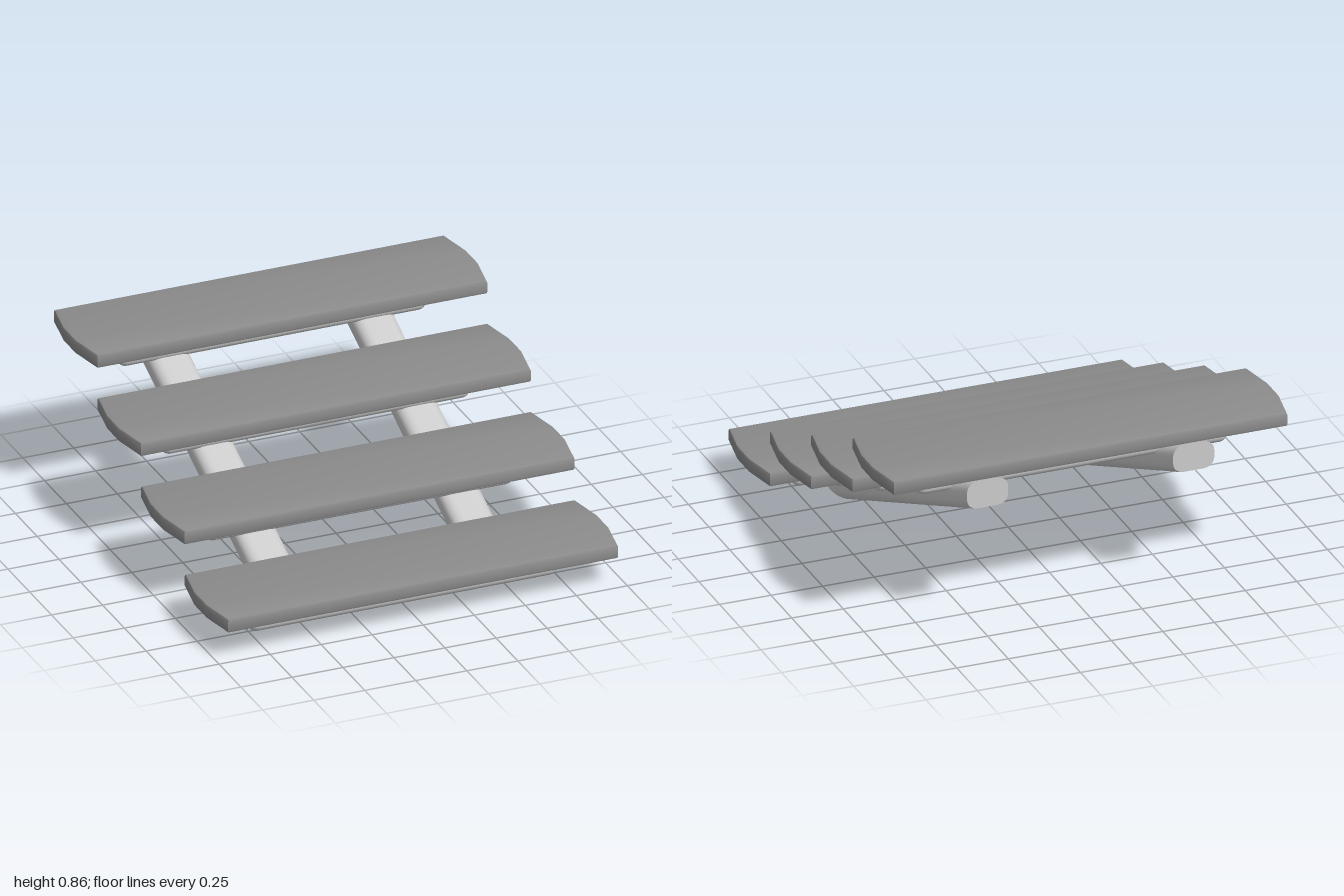
import * as THREE from 'three';
import { toCreasedNormals } from 'three/addons/utils/BufferGeometryUtils.js';
import { RoundedBoxGeometry } from 'three/addons/geometries/RoundedBoxGeometry.js';

const STEPS = 4, RISE = 0.2135, RUN = 0.5;
const TREAD_BOTTOM = 0.145, TREAD_THICK = 0.07;
const JOIST_BOTTOMS = [0.003, 0.228, 0.433, 0.645];

// Plank with three-sided bowed ends and a small bevel all round
function treadGeometry() {
  const b = 0.012;
  const half = [[0.955, -0.25], [0.988, -0.07], [0.988, 0.07], [0.955, 0.25]];
  const outline = [...half, ...half.map(([x, z]) => [-x, -z])];
  const shape = new THREE.Shape(outline.map(([x, z]) => new THREE.Vector2(x, z)));
  const geo = new THREE.ExtrudeGeometry(shape, {
    depth: TREAD_THICK - 2 * b, bevelThickness: b, bevelSize: b, bevelOffset: -b, bevelSegments: 2,
  });
  geo.translate(0, 0, b);
  geo.rotateX(-Math.PI / 2);
  return toCreasedNormals(geo, 0.5);
}

// Sloping beam of rounded section, cut upright at the back and level on the ground
function railGeometry() {
  const backZ = -1, frontZ = 0.75, slope = 0.425, midY = 0.7175;
  const halfW = 0.1, halfH = 0.0675, r = 0.05, seg = 5;
  const ring = [];
  [[1, 1], [-1, 1], [-1, -1], [1, -1]].forEach(([sx, sy], corner) => {
    for (let i = 0; i <= seg; i++) {
      const a = (corner + i / seg) * Math.PI / 2;
      ring.push([sx * (halfW - r) + r * Math.cos(a), sy * (halfH - r) + r * Math.sin(a)]);
    }
  });
  // Each section point runs down the slope until it meets the ground, then along it
  const lines = ring.map(([x, v]) => {
    const y0 = midY + v;
    const hitZ = Math.min(frontZ, backZ + y0 / slope);
    const yAt = (z) => Math.max(0, y0 - slope * (z - backZ));
    return [[x, y0, backZ], [x, yAt(hitZ), hitZ], [x, yAt(frontZ), frontZ]];
  });
  const pos = [], n = lines.length;
  const tri = (...corners) => corners.forEach((c) => pos.push(...c));
  for (let i = 0; i < n; i++) {
    const p = lines[i], q = lines[(i + 1) % n];
    for (let k = 0; k < 2; k++) {
      tri(p[k], q[k + 1], q[k]);
      tri(p[k], p[k + 1], q[k + 1]);
    }
    tri([0, midY, backZ], p[0], q[0]);
    tri(lines[0][2], q[2], p[2]);
  }
  const geo = new THREE.BufferGeometry();
  geo.setAttribute('position', new THREE.Float32BufferAttribute(pos, 3));
  return toCreasedNormals(geo, 0.6);
}

export function createModel() {
  const model = new THREE.Group();
  model.name = 'openStairs';
  const frameMat = new THREE.MeshStandardMaterial({ color: 0xcccccc, side: THREE.DoubleSide });
  const treadMat = new THREE.MeshStandardMaterial({ color: 0x8c8c8c });
  const add = (name, geo, mat, x, y, z) => {
    const mesh = new THREE.Mesh(geo, mat);
    mesh.name = name;
    mesh.position.set(x, y, z);
    model.add(mesh);
  };

  // Treads, each on a rounded crossbeam whose top is let into the plank
  const tread = treadGeometry();
  for (let i = 0; i < STEPS; i++) {
    const y = TREAD_BOTTOM + i * RISE, z = 0.75 - i * RUN;
    add('tread' + (i + 1), tread, treadMat, 0, y, z);
    const bottom = JOIST_BOTTOMS[i], height = y + 0.05 - bottom;
    const joist = new RoundedBoxGeometry(1.51, height, 0.09, 4, 0.04);
    add('crossbeam' + (i + 1), joist, frameMat, 0, bottom + height / 2, z);
  }

  // Pair of sloping rails
  const rail = railGeometry();
  add('leftRail', rail, frameMat, 0.5, 0, 0);
  add('rightRail', rail, frameMat, -0.5, 0, 0);
  return model;
}
